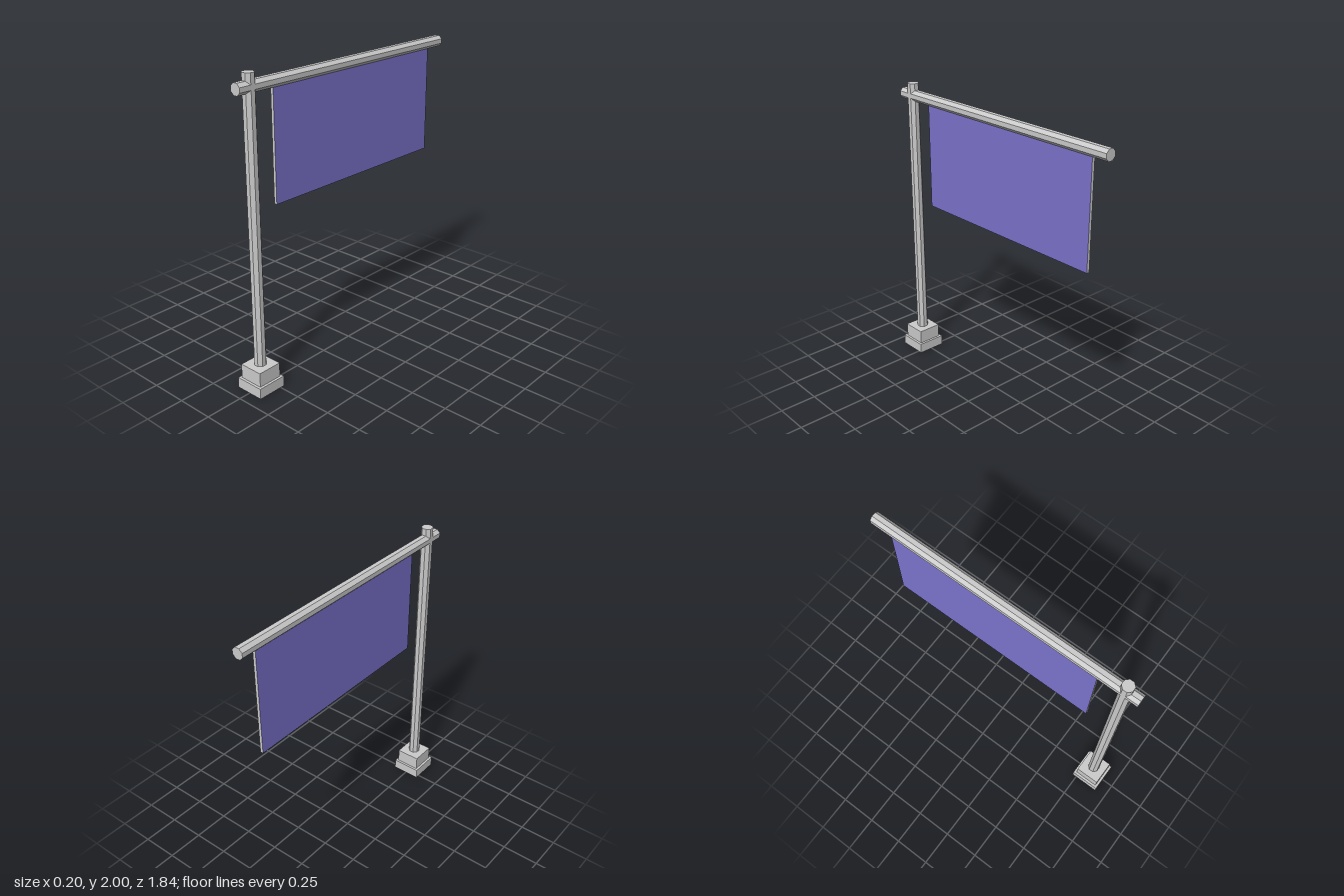
import * as THREE from 'three';

export function createModel() {
  const model = new THREE.Group();
  const grey = new THREE.MeshStandardMaterial({ color: 0xcccccc, flatShading: true });
  const purple = new THREE.MeshStandardMaterial({ color: 0x7b73cc });
  const poleZ = 0.82;

  function add(name, geometry, material, x, y, z) {
    const mesh = new THREE.Mesh(geometry, material);
    mesh.name = name;
    mesh.position.set(x, y, z);
    model.add(mesh);
    return mesh;
  }

  // Octagonal bar with flat sides facing the axes; width is flat to flat
  function octagonBar(width, length) {
    const radius = width / 2 / Math.cos(Math.PI / 8);
    return new THREE.CylinderGeometry(radius, radius, length, 8).rotateY(Math.PI / 8);
  }

  // Stepped square base
  add('lowerBase', new THREE.BoxGeometry(0.2, 0.07, 0.2), grey, 0, 0.035, poleZ);
  add('upperBase', new THREE.BoxGeometry(0.166, 0.095, 0.166), grey, 0, 0.1175, poleZ);

  // Upright pole
  add('pole', octagonBar(0.072, 1.84), grey, 0, 1.08, poleZ);

  // Horizontal arm running front to back
  add('arm', octagonBar(0.072, 1.836).rotateX(Math.PI / 2), grey, 0, 1.918, 0);

  // Hanging banner: coloured faces, grey edges
  add('banner', new THREE.BoxGeometry(0.02, 0.715, 1.444),
    [purple, purple, grey, grey, grey, grey], 0, 1.5325, -0.075);

  return model;
}
